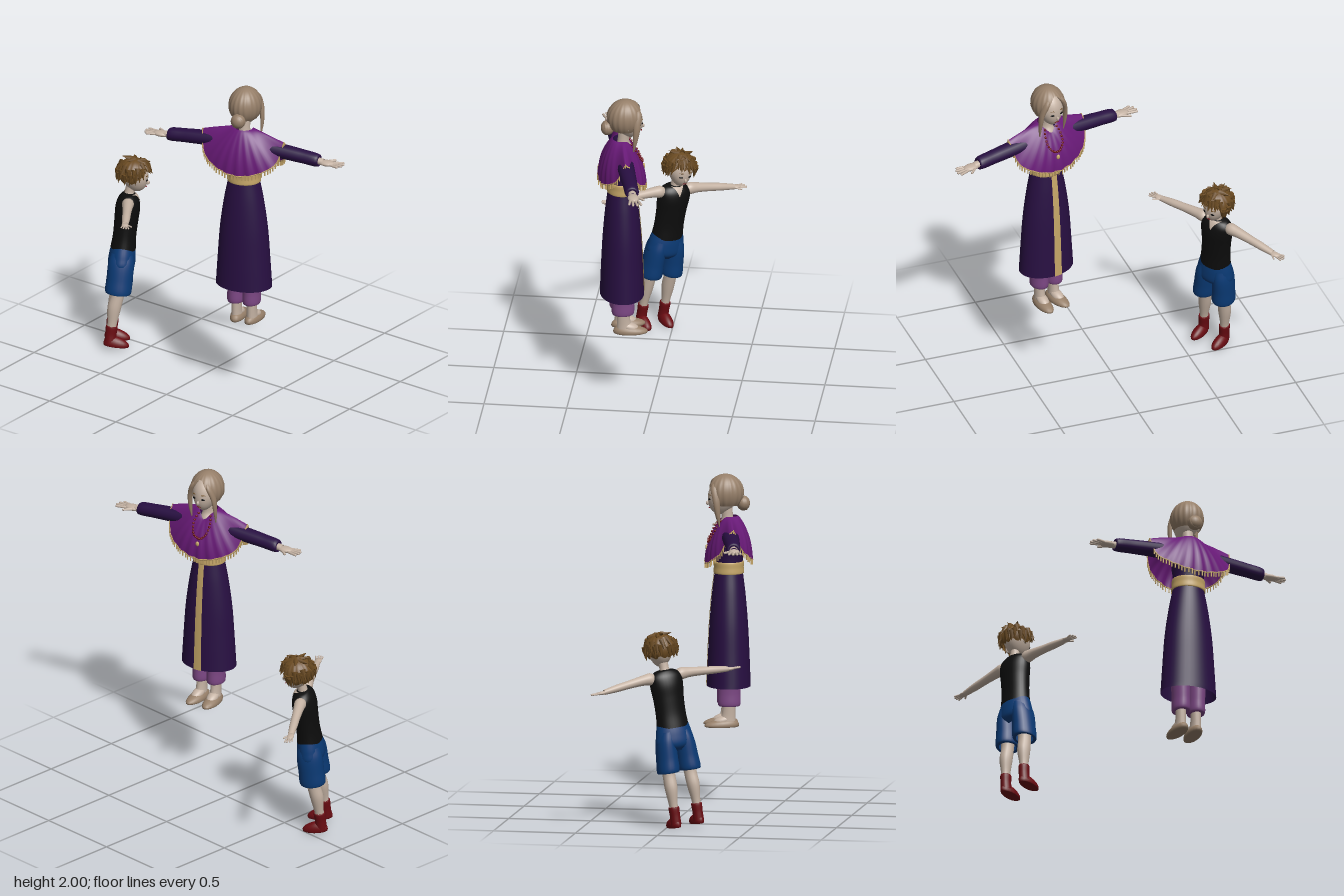
import * as THREE from 'three';
import { mergeVertices } from 'three/addons/utils/BufferGeometryUtils.js';

const paint = (name, color) => new THREE.MeshStandardMaterial({ name, color, side: THREE.DoubleSide });
const M = {
  skin: paint('skin', 0xc4b2a3), greyHair: paint('sandy hair and slippers', 0x967f69),
  brownHair: paint('brown hair', 0x6b4b22), black: paint('black', 0x0d0d0d),
  blue: paint('blue shorts', 0x0a3a75), red: paint('red shoes', 0x6a0c12),
  shawl: paint('purple shawl', 0x691a78), dress: paint('dark purple dress', 0x280f42),
  mauve: paint('mauve trousers', 0x7c4784), gold: paint('gold trim', 0xc4a567),
};
const { sin, cos, abs, PI, max, sqrt, asin } = Math;
const lerp = THREE.MathUtils.lerp, smooth = THREE.MathUtils.smoothstep;

function add(parent, name, geo, mat, pos = [0, 0, 0], scale = [1, 1, 1]) {
  const m = new THREE.Mesh(geo, mat);
  m.name = name;
  m.position.set(...pos);
  m.scale.set(...scale);
  parent.add(m);
  return m;
}

// Smooth surface from a rule f(u, v) -> [x, y, z]
function grid(nu, nv, f) {
  const pos = [], idx = [];
  for (let j = 0; j <= nv; j++) for (let i = 0; i <= nu; i++) pos.push(...f(i / nu, j / nv));
  for (let j = 0; j < nv; j++) for (let i = 0; i < nu; i++) {
    const a = j * (nu + 1) + i, c = a + nu + 1;
    idx.push(a, a + 1, c + 1, a, c + 1, c);
  }
  let g = new THREE.BufferGeometry();
  g.setAttribute('position', new THREE.Float32BufferAttribute(pos, 3));
  g.setIndex(idx);
  g = mergeVertices(g, 1e-5);
  g.computeVertexNormals();
  return g;
}

// Elliptical cross-sections [y, rx, rz, cx, cz], bottom to top
function sections(rings) {
  const size = new THREE.CatmullRomCurve3(rings.map(r => new THREE.Vector3(r[0], r[1], r[2])));
  const mid = new THREE.CatmullRomCurve3(rings.map(r => new THREE.Vector3(r[3] || 0, r[4] || 0, r[0])));
  return t => {
    const s = size.getPoint(t), c = mid.getPoint(t);
    return { y: s.x, rx: max(s.y, 0.001), rz: max(s.z, 0.001), cx: c.x, cz: c.y };
  };
}
function loft(rings, nu = 24) {
  const at = sections(rings);
  return grid(nu, rings.length * 5, (u, v) => {
    const r = at(v), a = (u - 0.5) * 2 * PI;
    return [r.cx + r.rx * sin(a), r.y, r.cz + r.rz * cos(a)];
  });
}
// Strip lying on the front of a loft; half(t) is its half width
function frontStrip(rings, t0, t1, half, off = 0.004) {
  const at = sections(rings);
  return grid(6, 20, (u, v) => {
    const r = at(lerp(t0, t1, v)), a = asin(Math.min(1, half(v) / r.rx)) * (2 * u - 1);
    return [r.cx + (r.rx + off) * sin(a), r.y, r.cz + (r.rz + off) * cos(a)];
  });
}
// Loft running out along +x: [x, ry, rz, y, z]
function limbOut(parent, name, rings, mat) {
  const m = add(parent, name, loft(rings.map(([x, ry, rz, y, z]) => [x, ry, rz, -y, z || 0]), 16), mat);
  m.rotation.z = -PI / 2;
}
function mirrored(parent, name, build) {
  for (const s of [1, -1]) {
    const g = new THREE.Group();
    g.name = (s > 0 ? 'left' : 'right') + name;
    g.scale.x = s;
    build(g, s);
    parent.add(g);
  }
}

// Flat open hand pointing along +x, about 1 long
function hand(parent, x, y, size) {
  const h = new THREE.Group();
  h.name = 'hand';
  h.position.set(x, y, 0);
  h.scale.setScalar(size);
  const ball = new THREE.SphereGeometry(1, 14, 10);
  add(h, 'palm', ball, M.skin, [0.3, 0, 0], [0.34, 0.11, 0.22]);
  const finger = (name, len, px, pz, yaw) => {
    const pivot = new THREE.Group();
    pivot.position.set(px, 0, pz);
    pivot.rotation.y = yaw;
    add(pivot, name, new THREE.CapsuleGeometry(0.05, len, 3, 8), M.skin, [len / 2, 0, 0]).rotation.z = PI / 2;
    h.add(pivot);
  };
  [0.38, 0.43, 0.4, 0.3].forEach((len, i) => finger('finger', len, 0.52, 0.15 - 0.1 * i, -0.22 + 0.15 * i));
  finger('thumb', 0.35, 0.22, 0.16, -0.65);
  parent.add(h);
}

// Head with tapered jaw, ears, nose, eyes, brows and mouth
function head(parent, cy, cz, w, h, d) {
  add(parent, 'head', grid(28, 20, (u, v) => {
    const a = (u - 0.5) * 2 * PI, p = v * PI, low = max(0, cos(p));
    return [w * sin(p) * sin(a) * (1 - 0.25 * low), cy - h * cos(p), cz + d * sin(p) * cos(a) * (1 - 0.08 * low) + 0.018 * low];
  }), M.skin);
  const front = (x, y) => cz + d * sqrt(1 - (x / w) ** 2 - (y / h) ** 2) + 0.018 * max(0, -y / h);
  const ball = new THREE.SphereGeometry(1, 12, 8);
  const mark = (name, mat, x, y, rx, ry, rz = 0.004) =>
    add(parent, name, ball, mat, [x, cy + y, front(x, y)], [rx, ry, rz]);
  for (const s of [1, -1]) {
    mark('eye', M.black, s * w * 0.4, -0.012, 0.012, 0.006).rotation.y = s * 0.4;
    mark('brow', M.brownHair, s * w * 0.4, 0.014, 0.014, 0.0025).rotation.y = s * 0.4;
    add(parent, 'ear', ball, M.skin, [s * w, cy - 0.015, cz - 0.005], [0.01, 0.022, 0.014]);
  }
  mark('nose', M.skin, 0, -h * 0.35, 0.008, 0.014, 0.012);
  mark('mouth', M.red, 0, -h * 0.62, 0.016, 0.0025);
}

// Hair cap whose lower edge follows edge(angle from the front)
function hairCap(parent, cy, cz, r, edge, mat) {
  add(parent, 'hair', grid(72, 16, (u, v) => {
    const a = (u - 0.5) * 2 * PI, t = edge(abs(a)) * (1 - v), k = 1 + 0.025 * sin(18 * a) * sin(t);
    return [r[0] * k * sin(t) * sin(a), cy + r[1] * cos(t), cz + r[2] * k * sin(t) * cos(a)];
  }), mat);
}

// Rounded shoe with a flat sole, toe toward +z
function shoe(parent, x, z, w, h, len, mat) {
  const g = new THREE.SphereGeometry(1, 20, 14), p = g.attributes.position;
  for (let i = 0; i < p.count; i++) {
    const px = p.getX(i), py = p.getY(i), pz = p.getZ(i);
    p.setXYZ(i, px * w, max(0, (py + 0.3) * h * (1 - 0.25 * pz) / 1.3), pz * len);
  }
  g.computeVertexNormals();
  add(parent, 'shoe', g, mat, [x, 0, z]);
}

function buildWoman() {
  const g = new THREE.Group();
  g.name = 'woman';
  const ball = new THREE.SphereGeometry(1, 20, 14);
  // Dress, sash and front band
  const skirt = [[0.715, 0.175, 0.132], [0.9, 0.163, 0.125], [1.1, 0.148, 0.115], [1.28, 0.122, 0.1], [1.41, 0.096, 0.084]];
  add(g, 'skirt', loft(skirt, 40), M.dress);
  add(g, 'skirtBand', frontStrip(skirt, 0, 1, v => lerp(0.025, 0.018, v)), M.gold);
  add(g, 'bodice', loft([[1.4, 0.094, 0.082], [1.48, 0.095, 0.085], [1.57, 0.105, 0.095], [1.65, 0.1, 0.08], [1.7, 0.06, 0.05], [1.71, 0.01, 0.01]]), M.dress);
  add(g, 'sash', loft([[1.4, 0.095, 0.083], [1.4, 0.103, 0.091], [1.435, 0.102, 0.09], [1.47, 0.1, 0.09], [1.47, 0.09, 0.08]], 32), M.gold);
  add(g, 'neck', loft([[1.62, 0.05, 0.06, 0, 0.02], [1.69, 0.045, 0.05, 0, 0.012], [1.73, 0.034, 0.036, 0, 0.008], [1.8, 0.034, 0.036, 0, 0.015]], 16), M.skin);
  // Shawl draped over the shoulders
  const drape = (u, v) => {
    const a = (u - 0.5) * 2 * PI, s = abs(sin(a)), c = cos(a), t = 1 - v;
    const hem = (c > 0 ? 1.46 : 1.48) + 0.1 * s * s + 0.12 * s ** 20;
    const top = 1.745 - 0.05 * max(0, c) ** 3;
    const fold = 1 + 0.04 * sin(22 * a) * t * abs(c);
    return [sin(a) * lerp(0.055, 0.265, t), lerp(top, hem, t ** 1.3), c * (0.055 + 0.085 * sin(t * PI / 2)) * fold];
  };
  add(g, 'shawl', grid(96, 20, drape), M.shawl);
  const strand = new THREE.BoxGeometry(0.006, 0.034, 0.006);
  for (let i = 0; i < 76; i++) {
    const [x, y, z] = drape(i / 76, 0);
    add(g, 'fringe', strand, M.gold, [x, y - 0.012, z]);
  }
  const edge = [];
  for (let i = 0; i < 72; i++) edge.push(new THREE.Vector3(...drape(i / 72, 0)));
  add(g, 'shawlEdge', new THREE.TubeGeometry(new THREE.CatmullRomCurve3(edge, true), 144, 0.004, 5, true), M.gold);
  // Beads and pendant
  for (let i = 0; i <= 20; i++) {
    const [x, y, z] = drape(0.5 + (i - 10) * 0.011, 0.95 - 0.5 * (1 - ((i - 10) / 10) ** 2));
    add(g, 'bead', ball, M.red, [x, y, z + 0.004], [0.007, 0.007, 0.007]);
  }
  const [px, py, pz] = drape(0.5, 0.33);
  add(g, 'pendant', ball, M.gold, [px, py, pz + 0.004], [0.012, 0.016, 0.008]);
  // Arms, legs and slippers
  mirrored(g, 'Limbs', (side, s) => {
    limbOut(side, 'sleeve', [[0.06, 0.055, 0.055, 1.64], [0.24, 0.045, 0.05, 1.632], [0.38, 0.042, 0.045, 1.622], [0.49, 0.036, 0.038, 1.612], [0.49, 0.02, 0.02, 1.612]], M.dress);
    limbOut(side, 'wrist', [[0.46, 0.022, 0.024, 1.612], [0.52, 0.02, 0.024, 1.607]], M.skin);
    hand(side, 0.495, 1.605, 0.155);
    add(side, 'trouserLeg', loft([[0.6, 0.03, 0.04, 0.05], [0.6, 0.05, 0.064, 0.05], [0.68, 0.052, 0.068, 0.05], [0.85, 0.055, 0.07, 0.055]]), M.mauve);
    add(side, 'ankle', loft([[0.5, 0.032, 0.05, 0.05, 0.012], [0.54, 0.03, 0.042, 0.05, 0.005], [0.64, 0.032, 0.036, 0.05, 0]], 16), M.skin);
    const foot = new THREE.Group();
    foot.name = 'foot';
    foot.position.set(0.052, 0.47, 0.045);
    foot.rotation.y = 0.08;
    shoe(foot, 0, 0, 0.046, 0.05, 0.105, M.greyHair);
    add(foot, 'instep', ball, M.skin, [0, 0.04, -0.005], [0.034, 0.028, 0.06]).rotation.x = 0.3;
    side.add(foot);
    // Loose lock beside the face
    add(side, 'hairLock', loft([[1.69, 0.003, 0.003, 0.085, 0.06], [1.76, 0.01, 0.014, 0.088, 0.07], [1.85, 0.014, 0.022, 0.082, 0.08], [1.93, 0.018, 0.025, 0.05, 0.085], [1.975, 0.006, 0.01, 0.015, 0.06]], 12), M.greyHair);
  });
  // Head, parted hair and bun
  head(g, 1.862, 0.035, 0.078, 0.108, 0.09);
  hairCap(g, 1.885, 0.02, [0.098, 0.114, 0.11], f => 0.78 + 1.5 * smooth(f, 0.05, 1.25), M.greyHair);
  add(g, 'bun', ball, M.greyHair, [0, 1.82, -0.088], [0.045, 0.045, 0.04]);
  add(g, 'bunCoil', new THREE.TorusGeometry(0.03, 0.014, 8, 24), M.greyHair, [0, 1.82, -0.1]);
  return g;
}

function buildBoy() {
  const g = new THREE.Group();
  g.name = 'boy';
  // Sleeveless top with an open neck
  const vest = [[0.6, 0.1, 0.076], [0.68, 0.094, 0.07], [0.78, 0.096, 0.072], [0.86, 0.104, 0.074], [0.91, 0.1, 0.064], [0.94, 0.07, 0.045], [0.95, 0.03, 0.03]];
  add(g, 'vest', loft(vest, 32), M.black);
  add(g, 'openNeck', frontStrip(vest, 0.62, 0.96, v => 0.002 + 0.036 * v), M.skin);
  add(g, 'neck', loft([[0.91, 0.045, 0.042], [0.95, 0.03, 0.03], [1.02, 0.03, 0.03, 0, 0.008]], 16), M.skin);
  // Shorts
  add(g, 'shortsTop', loft([[0.46, 0.05, 0.05], [0.5, 0.118, 0.08], [0.56, 0.113, 0.08], [0.64, 0.093, 0.068]], 32), M.blue);
  mirrored(g, 'Limbs', side => {
    add(side, 'shortsLeg', loft([[0.335, 0.05, 0.055, 0.07], [0.335, 0.065, 0.076, 0.07], [0.42, 0.064, 0.078, 0.066], [0.52, 0.058, 0.078, 0.06], [0.58, 0.05, 0.068, 0.05]]), M.blue);
    add(side, 'leg', loft([[0.08, 0.024, 0.028, 0.075, -0.015], [0.14, 0.026, 0.029, 0.075, -0.014], [0.24, 0.038, 0.041, 0.073, -0.012], [0.33, 0.038, 0.04, 0.07, 0], [0.42, 0.045, 0.048, 0.067, 0]], 16), M.skin);
    shoe(side, 0.076, 0.025, 0.036, 0.06, 0.078, M.red);
    add(side, 'shoeCuff', loft([[0.02, 0.032, 0.036, 0.075, -0.012], [0.07, 0.03, 0.034, 0.075, -0.014], [0.125, 0.031, 0.034, 0.075, -0.014], [0.125, 0.024, 0.026, 0.075, -0.014]], 16), M.red);
    limbOut(side, 'arm', [[0.075, 0.03, 0.03, 0.905], [0.1, 0.037, 0.036, 0.908], [0.15, 0.031, 0.032, 0.908], [0.25, 0.025, 0.026, 0.899], [0.32, 0.023, 0.025, 0.892], [0.41, 0.016, 0.019, 0.882]], M.skin);
    hand(side, 0.395, 0.88, 0.1);
  });
  // Head and tousled hair
  head(g, 1.06, 0.02, 0.074, 0.096, 0.082);
  const c = new THREE.Vector3(0, 1.078, 0.012), r = new THREE.Vector3(0.096, 0.092, 0.1);
  hairCap(g, c.y, c.z, r.toArray(), f => 1.25 + 0.85 * smooth(f, 0.6, 1.6) + 0.1 * sin(9 * f), M.brownHair);
  let seed = 7;
  const rand = () => (seed = (seed * 16807) % 2147483647) / 2147483647;
  const tuft = new THREE.ConeGeometry(0.02, 0.07, 6), up = new THREE.Vector3(0, 1, 0);
  for (let i = 0; i < 46; i++) {
    const a = i * 2.4 - PI, facing = cos(a) > 0.6;
    const t = i < 6 ? 0.3 + 0.3 * rand() : facing ? 0.8 + 0.3 * rand() : 0.9 + 0.9 * rand();
    const out = new THREE.Vector3(sin(t) * sin(a), cos(t), sin(t) * cos(a));
    const along = new THREE.Vector3(cos(t) * sin(a), -sin(t), cos(t) * cos(a)).addScaledVector(out, i < 6 ? 0.5 : 0.12).normalize();
    const at = out.clone().multiply(r).multiplyScalar(0.98).add(c).addScaledVector(along, 0.015);
    add(g, 'hairTuft', tuft, M.brownHair, at.toArray()).quaternion.setFromUnitVectors(up, along);
  }
  return g;
}

export function createModel() {
  const model = new THREE.Group();
  model.name = 'womanAndBoy';
  const woman = buildWoman();
  woman.position.set(-0.185, 0, 0.345);
  woman.rotation.y = 1.815;
  // The boy leans forward and to his left
  const boy = buildBoy();
  const left = new THREE.Vector3(0.816, -0.112, -0.571).normalize();
  const up = new THREE.Vector3(0.15, 0.988, 0.02).normalize();
  const front = left.clone().cross(up).normalize();
  boy.quaternion.setFromRotationMatrix(new THREE.Matrix4().makeBasis(left, front.clone().cross(left), front));
  boy.position.set(-0.125, 0.019, -0.695);
  model.add(woman, boy);
  return model;
}
